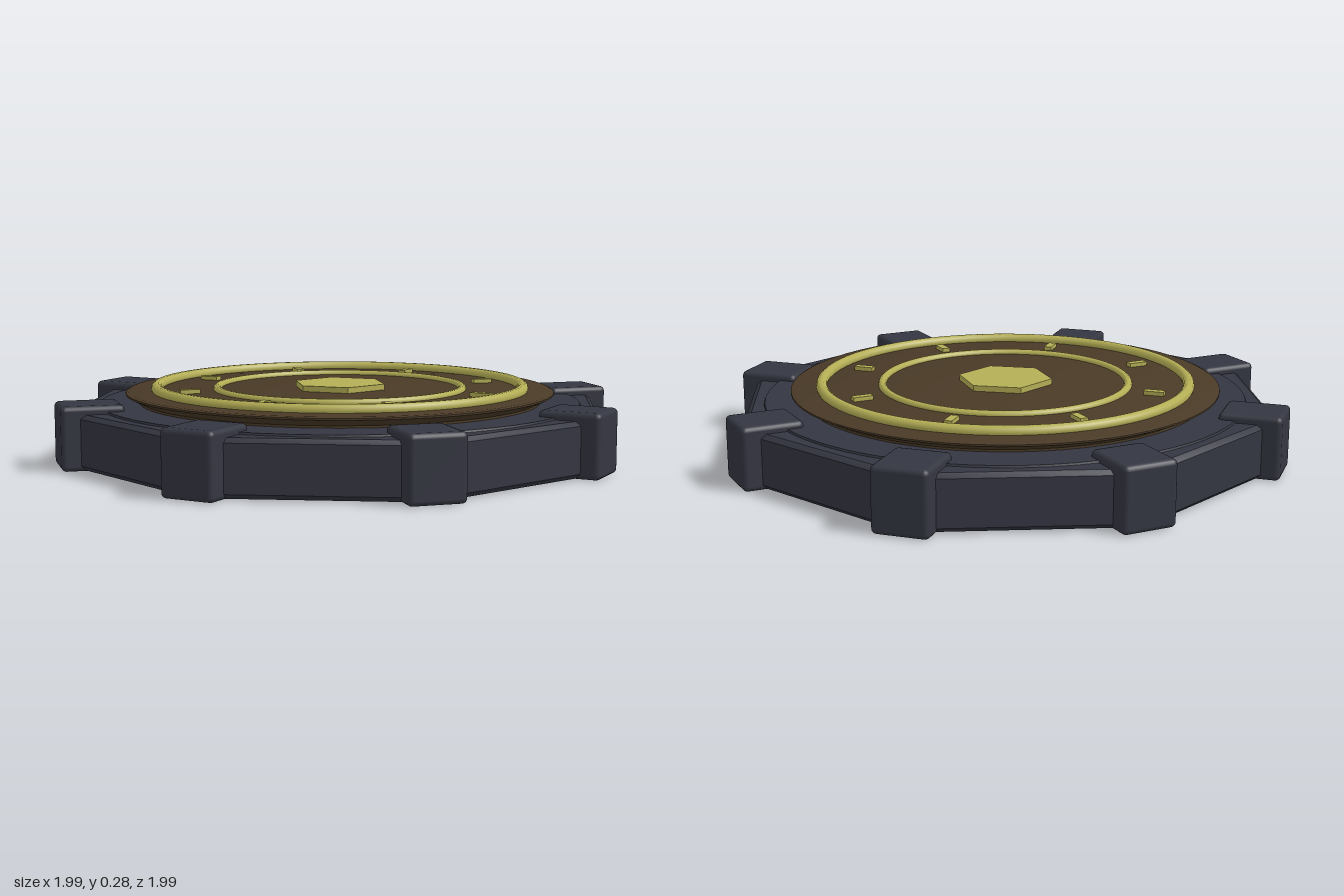
import * as THREE from 'three';
import { toCreasedNormals } from 'three/addons/utils/BufferGeometryUtils.js';
import { RoundedBoxGeometry } from 'three/addons/geometries/RoundedBoxGeometry.js';

const SIDES = 8;
const CORNER = Math.PI / SIDES; // angle from an axis to the nearest octagon corner

export function createModel() {
  const model = new THREE.Group();
  model.name = 'octagonalPlatform';

  const darkMetal = new THREE.MeshStandardMaterial({ color: 0x343641 });
  const brown = new THREE.MeshStandardMaterial({ color: 0x4a3a27 });
  const gold = new THREE.MeshStandardMaterial({ color: 0xb4ae55 });

  const add = (name, geometry, material, parent = model) => {
    const mesh = new THREE.Mesh(geometry, material);
    mesh.name = name;
    parent.add(mesh);
    return mesh;
  };

  // Turned solid: profile runs from the bottom centre to the top centre
  const turned = (profile, segments, phase = 0) => toCreasedNormals(
    new THREE.LatheGeometry(profile.map(([r, y]) => new THREE.Vector2(r, y)), segments, phase), 0.5);

  // Octagonal base with bevelled edges
  const R = 0.94 / Math.cos(CORNER);
  add('base', turned([[0, 0.003], [R - 0.02, 0.003], [R, 0.02], [R, 0.185], [R - 0.02, 0.2], [0, 0.2]],
    SIDES, CORNER), darkMetal);

  // Low collar lying on the base
  add('collar', turned([[0.89, 0.195], [0.885, 0.207], [0.7, 0.207]], 64), darkMetal);

  // Brown deck: a core through the base and an overhanging lip
  add('deck', turned([[0, 0], [0.74, 0], [0.74, 0.215], [0.78, 0.235], [0.79, 0.24],
    [0.79, 0.246], [0.78, 0.25], [0, 0.25]], 64), brown);

  // Raised gold rings
  for (const [name, radius, tube, y] of [['outerRing', 0.677, 0.021, 0.258], ['innerRing', 0.455, 0.015, 0.252]]) {
    const ring = add(name, new THREE.TorusGeometry(radius, tube, 10, 72), gold);
    ring.rotation.x = Math.PI / 2;
    ring.position.y = y;
  }

  // Hexagonal emblem in the middle, points towards front and back
  const hexagon = new THREE.CylinderGeometry(0.175, 0.175, 0.03, 6).toNonIndexed();
  hexagon.computeVertexNormals();
  add('centreHexagon', hexagon, gold).position.y = 0.256;

  // Corner blocks and tick marks share the eight corner directions
  const blockGeometry = new RoundedBoxGeometry(0.225, 0.23, 0.2, 2, 0.018);
  const tickGeometry = new THREE.BoxGeometry(0.073, 0.03, 0.03);
  for (let i = 0; i < SIDES; i++) {
    const spoke = new THREE.Group();
    spoke.name = `spoke${i + 1}`;
    spoke.rotation.y = CORNER + i * 2 * CORNER;
    add('cornerBlock', blockGeometry, darkMetal, spoke).position.set(0.931, 0.115, 0);
    add('tickMark', tickGeometry, gold, spoke).position.set(0.567, 0.25, 0);
    model.add(spoke);
  }

  return model;
}
